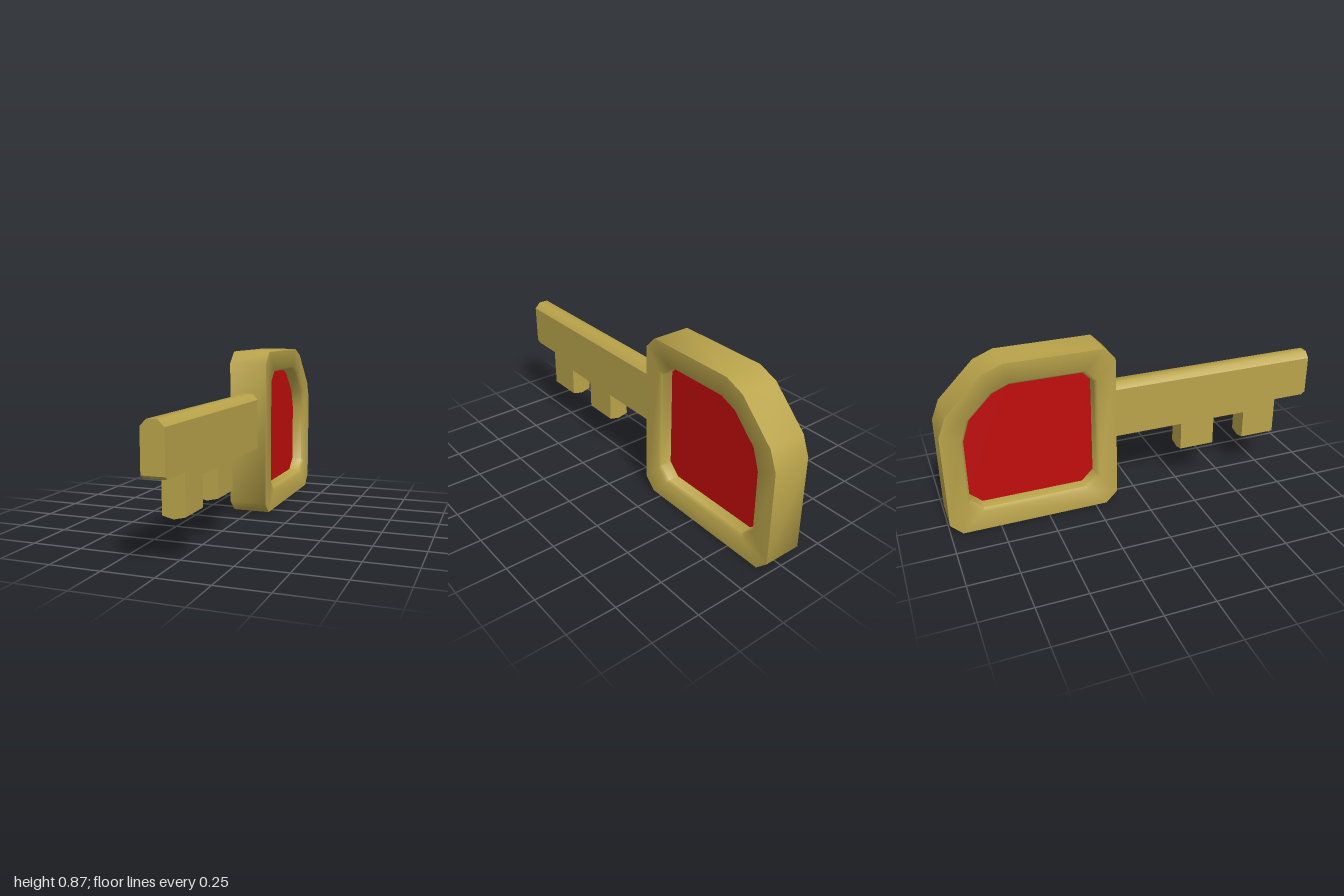
import * as THREE from 'three';
import { toCreasedNormals } from 'three/addons/utils/BufferGeometryUtils.js';

const CREASE = 0.9;
const toShape = (pts) => new THREE.Shape(pts.map(([a, b]) => new THREE.Vector2(a, b)));

// Side profile given as [z, y], extruded across x and centred on x = 0
function sideSlab(pts, width) {
  const g = new THREE.ExtrudeGeometry(toShape(pts), { depth: width, bevelEnabled: false });
  g.translate(0, 0, -width / 2);
  g.rotateY(-Math.PI / 2);
  return g;
}

// Cross-section given as [x, y], extruded from z0 to z1
function prism(pts, z0, z1) {
  const g = new THREE.ExtrudeGeometry(toShape(pts), { depth: z1 - z0, bevelEnabled: false });
  g.translate(0, 0, z0);
  return g;
}

// Matching outlines of the head, as [z, y]
const OUTER = [[-0.13, 0.81], [-0.19, 0.87], [-0.68, 0.87], [-0.78, 0.83], [-0.96, 0.65],
  [-1, 0.55], [-1, 0.06], [-0.94, 0], [-0.19, 0], [-0.13, 0.06]];
const INNER = [[-0.24, 0.695], [-0.3, 0.755], [-0.65, 0.755], [-0.735, 0.72], [-0.85, 0.605],
  [-0.885, 0.5], [-0.885, 0.18], [-0.82, 0.12], [-0.3, 0.12], [-0.24, 0.18]];

// Frame swept round the outlines; each profile step is [x, blend from inner to outer]
function headFrame() {
  const half = [[0.1, 1], [0.1, 0.14], [0.085, 0.03], [0.025, 0]];
  const profile = [...half, ...half.map(([x, t]) => [-x, t]).reverse()];
  const point = (k, i) => {
    const [x, t] = profile[k % profile.length];
    const a = INNER[i % INNER.length], b = OUTER[i % OUTER.length];
    return [x, a[1] + (b[1] - a[1]) * t, a[0] + (b[0] - a[0]) * t];
  };
  const pos = [];
  for (let k = 0; k < profile.length; k++) {
    for (let i = 0; i < OUTER.length; i++) {
      const a = point(k, i), b = point(k + 1, i), c = point(k + 1, i + 1), d = point(k, i + 1);
      pos.push(...a, ...b, ...c, ...a, ...c, ...d);
    }
  }
  const g = new THREE.BufferGeometry();
  g.setAttribute('position', new THREE.Float32BufferAttribute(pos, 3));
  g.computeVertexNormals();
  return toCreasedNormals(g, CREASE);
}

export function createModel() {
  const gold = new THREE.MeshStandardMaterial({ color: 0xb9a34a });
  gold.name = 'gold';
  const red = new THREE.MeshStandardMaterial({ color: 0xc00d0d });
  red.name = 'red';

  const model = new THREE.Group();
  model.name = 'key';
  const add = (name, geometry, material) => {
    const mesh = new THREE.Mesh(geometry, material);
    mesh.name = name;
    model.add(mesh);
  };

  // Head with a recessed panel on both sides
  add('headFrame', headFrame(), gold);
  add('headPanel', sideSlab(INNER, 0.06), red);

  // Shaft and teeth
  const w = 0.055;
  add('shaft', sideSlab([[-0.14, 0.62], [-0.14, 0.36], [0.25, 0.36], [0.25, 0.21], [0.44, 0.21],
    [0.44, 0.36], [0.62, 0.36], [0.62, 0.21], [0.81, 0.21], [0.81, 0.405],
    [0.98, 0.405], [1, 0.42], [1, 0.62]], w * 2), gold);

  // Chamfered top of the shaft
  const ridge = prism([[-w, 0.62], [w, 0.62], [0.025, 0.65], [-0.025, 0.65]], -0.14, 1);
  add('shaftRidge', toCreasedNormals(ridge, CREASE), gold);

  // Shallow pointed undersides of the teeth
  for (const z of [0.25, 0.62]) {
    const tip = prism([[-w, 0.21], [0, 0.197], [w, 0.21]], z, z + 0.19);
    add('toothTip', toCreasedNormals(tip, CREASE), gold);
  }
  return model;
}
